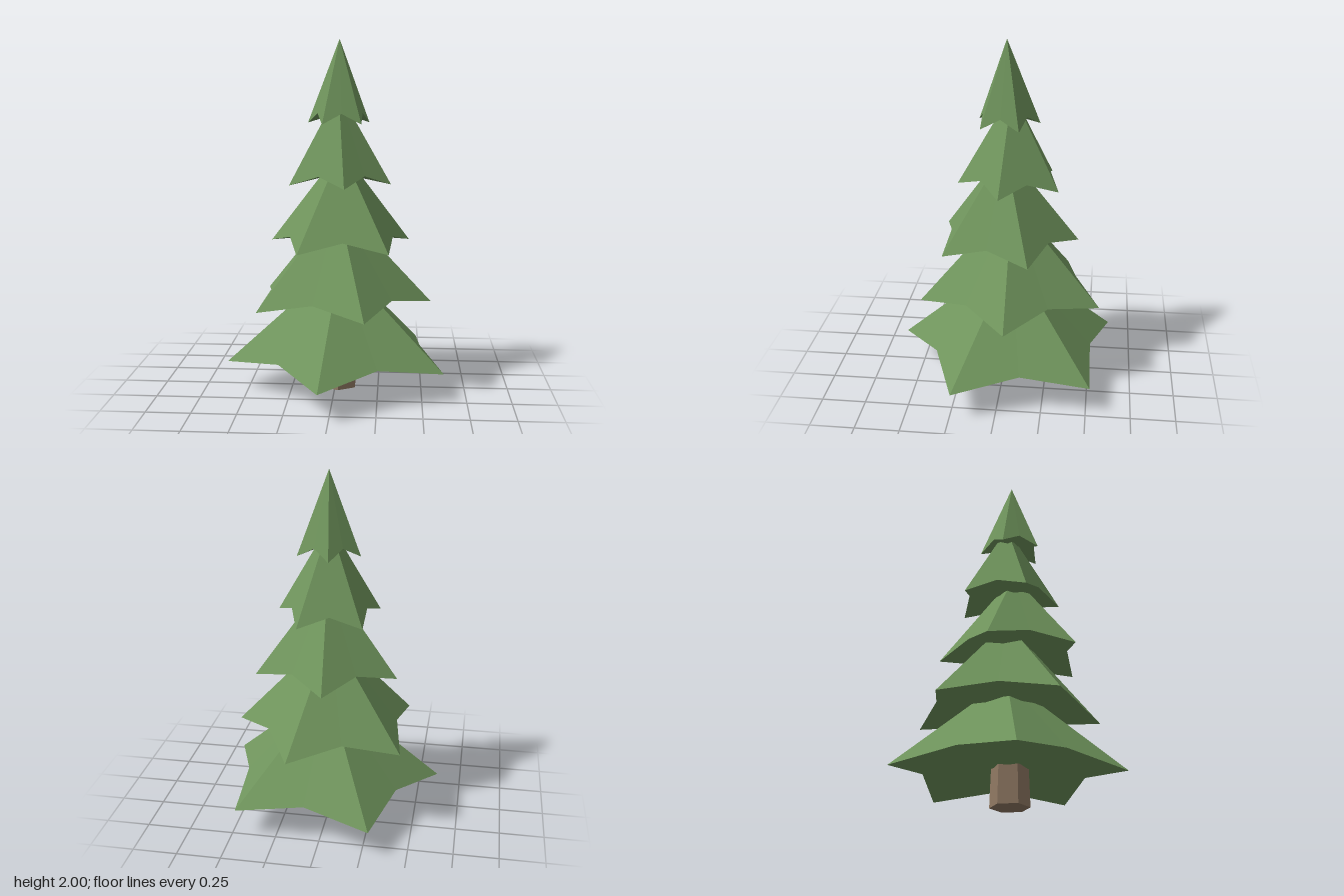
import * as THREE from 'three';

const POINTS = 5;
const VALLEY_RATIO = 0.72; // radius of the notches between branch tips
const VALLEY_RISE = 0.057; // notches sit higher than the tips

// Star-shaped cone: drooping tips, raised notches, closed underside
function starCone(radius, height, startDeg) {
  const rim = [];
  for (let i = 0; i < POINTS * 2; i++) {
    const a = THREE.MathUtils.degToRad(startDeg) + (i * Math.PI) / POINTS;
    const notch = i % 2 === 1;
    const r = notch ? radius * VALLEY_RATIO : radius;
    rim.push([Math.cos(a) * r, notch ? VALLEY_RISE : 0, Math.sin(a) * r]);
  }
  const apex = [0, height, 0];
  const under = [0, VALLEY_RISE, 0];
  const positions = [];
  rim.forEach((p, i) => {
    const q = rim[(i + 1) % rim.length];
    positions.push(...apex, ...q, ...p, ...under, ...p, ...q);
  });
  const geometry = new THREE.BufferGeometry();
  geometry.setAttribute('position', new THREE.Float32BufferAttribute(positions, 3));
  geometry.computeVertexNormals();
  return geometry;
}

export function createModel() {
  const tree = new THREE.Group();
  tree.name = 'pineTree';

  const bark = new THREE.MeshStandardMaterial({ color: 0x8f7862, flatShading: true });
  const needles = new THREE.MeshStandardMaterial({ color: 0x6f945c, flatShading: true });

  // Six-sided tapering trunk
  const trunk = new THREE.Mesh(new THREE.CylinderGeometry(0.097, 0.11, 0.35, 6), bark);
  trunk.name = 'trunk';
  trunk.position.set(0.02, 0.175, -0.02);
  tree.add(trunk);

  // Foliage tiers, bottom to top, each slightly offset and turned
  const tiers = [
    { x: 0.026, y: 0.16, z: -0.04, radius: 0.657, height: 0.575, turn: 25.2 },
    { x: 0.011, y: 0.505, z: -0.039, radius: 0.54, height: 0.575, turn: -0.6 },
    { x: 0.033, y: 0.848, z: 0.0, radius: 0.422, height: 0.54, turn: 49.2 },
    { x: 0.016, y: 1.192, z: -0.038, radius: 0.303, height: 0.52, turn: 8.9 },
    { x: 0.023, y: 1.535, z: -0.011, radius: 0.184, height: 0.465, turn: 46 },
  ];
  tiers.forEach((t, i) => {
    const tier = new THREE.Mesh(starCone(t.radius, t.height, t.turn), needles);
    tier.name = `foliageTier${i + 1}`;
    tier.position.set(t.x, t.y, t.z);
    tree.add(tier);
  });

  return tree;
}
